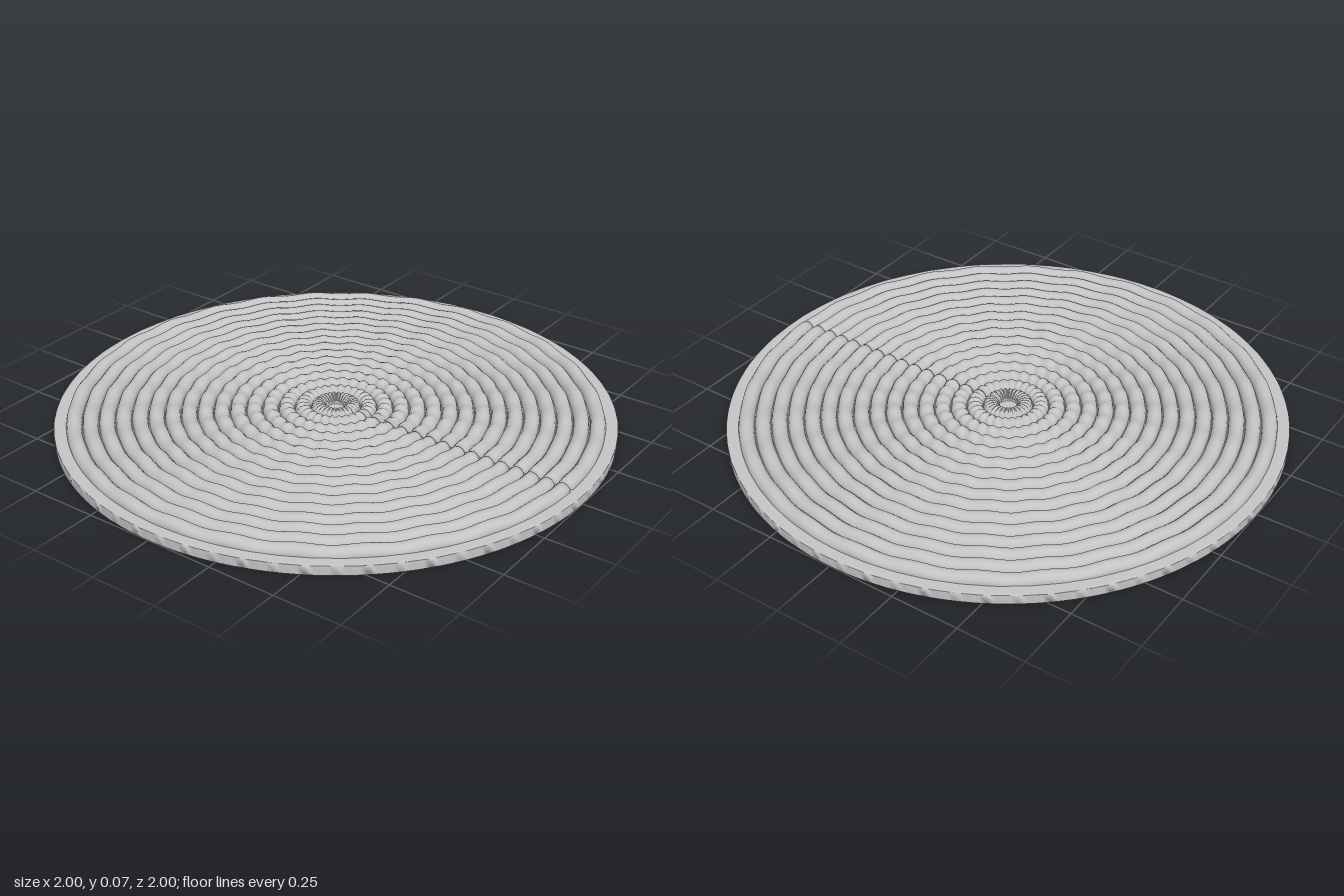
import * as THREE from 'three';
import { mergeVertices } from 'three/addons/utils/BufferGeometryUtils.js';
import { ParametricGeometry } from 'three/addons/geometries/ParametricGeometry.js';

const BASE_HEIGHT = 0.034;
const RINGS = 16, INNER = 0.06, OUTER = 0.929;
const TUBE = 0.028, RIPPLE = 0.0035, WAVES = 28, STEPS = 226;

// Rippled ring, open at +x, with both ends tapered to a point to form the seam
function ringGeometry(radius) {
  const end = 0.009 / radius;
  const geometry = new ParametricGeometry((u, v, target) => {
    const s = u * STEPS;
    const atEnd = s < 0.5 || s > STEPS - 0.5;
    const t = s < 0.5 ? 0 : s > STEPS - 0.5 ? Math.PI * 2
      : THREE.MathUtils.lerp(end, Math.PI * 2 - end, (s - 1) / (STEPS - 2));
    const p = v * Math.PI * 2 - Math.PI / 2;
    const tube = atEnd ? TUBE * 0.1 : TUBE;
    const r = radius + tube * Math.cos(p);
    const y = BASE_HEIGHT + tube * Math.sin(p) + RIPPLE * Math.sin(t * WAVES);
    target.set(r * Math.cos(t), y, -r * Math.sin(t));
  }, STEPS, 12);
  geometry.computeVertexNormals();
  return geometry;
}

// Round plate with softly shaded edges
function baseGeometry() {
  const circle = new THREE.Shape().absarc(0, 0, 1, 0, Math.PI * 2);
  let geometry = new THREE.ExtrudeGeometry(circle, {
    depth: BASE_HEIGHT, bevelEnabled: false, curveSegments: 128,
  });
  geometry.deleteAttribute('normal');
  geometry.deleteAttribute('uv');
  geometry.clearGroups();
  geometry = mergeVertices(geometry);
  geometry.rotateX(-Math.PI / 2);
  geometry.computeVertexNormals();
  return geometry;
}

export function createModel() {
  const model = new THREE.Group();
  model.name = 'coiledMat';
  const grey = new THREE.MeshStandardMaterial({ color: 0xc4c4c4 });
  grey.name = 'grey';

  const base = new THREE.Mesh(baseGeometry(), grey);
  base.name = 'basePlate';
  model.add(base);

  // Concentric coils touching each other
  const coils = new THREE.Group();
  coils.name = 'coils';
  for (let i = 0; i < RINGS; i++) {
    const radius = THREE.MathUtils.lerp(INNER, OUTER, i / (RINGS - 1));
    const ring = new THREE.Mesh(ringGeometry(radius), grey);
    ring.name = `coil${i + 1}`;
    coils.add(ring);
  }
  model.add(coils);
  return model;
}
